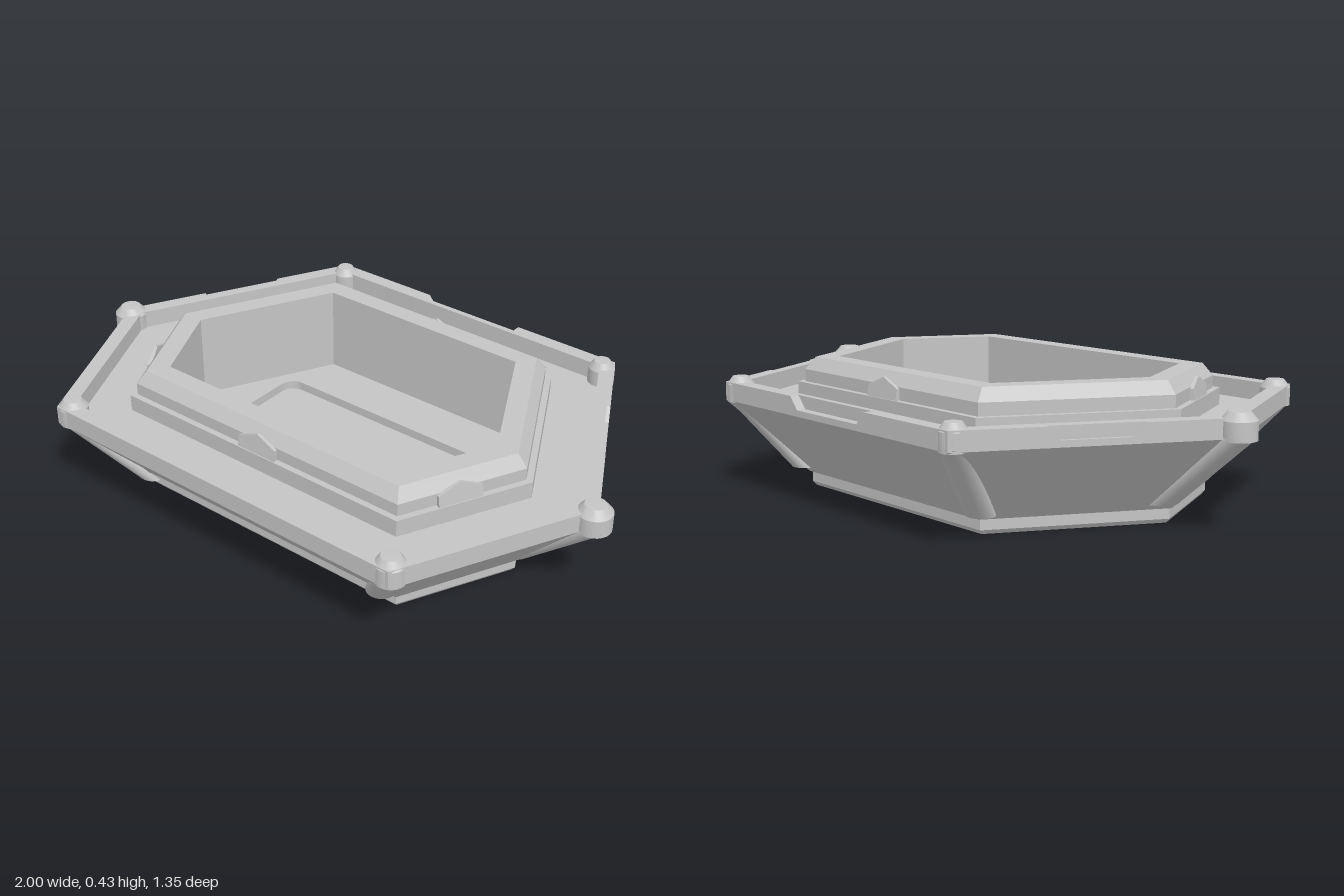
import * as THREE from 'three';
import { toCreasedNormals } from 'three/addons/utils/BufferGeometryUtils.js';

// Outer hexagon [x, z], counter-clockwise from above
const CORNERS = [[0.661, 0.673], [0.956, 0.07], [0.573, -0.675], [-0.573, -0.675], [-0.956, 0.07], [-0.661, 0.673]]
  .map(([x, z]) => new THREE.Vector2(x, z));
const EDGES = CORNERS.map((a, i) => {
  const b = CORNERS[(i + 1) % 6];
  const dir = b.clone().sub(a).normalize();
  return { mid: a.clone().add(b).multiplyScalar(0.5), dir, normal: new THREE.Vector2(-dir.y, dir.x) };
});
// Notches in the back and rear side edges of the rim: [half-length, depth]
const NOTCHES = { 1: [0.14, 0.012], 2: [0.19, 0.03], 3: [0.14, 0.012] };

// Corner of the hexagon inset by d
function corner(i, d) {
  const n1 = EDGES[(i + 5) % 6].normal, n2 = EDGES[i].normal;
  return CORNERS[i].clone().addScaledVector(n1.clone().add(n2), -d / (1 + n1.dot(n2)));
}

// One ring of the body; inside the notches notchY replaces y, and atDepth uses the notch depth
function bodyRing([d, y, notchY = y, atDepth = false]) {
  const pts = [];
  EDGES.forEach((e, i) => {
    const c = corner(i, d);
    pts.push([c.x, y, c.y]);
    if (!NOTCHES[i]) return;
    const [h, depth] = NOTCHES[i];
    for (const s of [-h, 0.035 - h, h - 0.035, h]) {
      const p = e.mid.clone().addScaledVector(e.dir, s).addScaledVector(e.normal, atDepth ? -depth : -d);
      pts.push([p.x, Math.abs(s) < h ? notchY : y, p.y]);
    }
  });
  return pts;
}

// Faceted skin over closed rings; faces outward going up and inward going down
function skin(rings) {
  const pos = [];
  const same = (a, b) => Math.hypot(a[0] - b[0], a[1] - b[1], a[2] - b[2]) < 1e-6;
  const tri = (a, b, c) => { if (!same(a, b) && !same(b, c) && !same(a, c)) pos.push(...a, ...b, ...c); };
  for (let r = 0; r + 1 < rings.length; r++) {
    const lo = rings[r], hi = rings[r + 1], n = lo.length;
    for (let i = 0; i < n; i++) {
      const j = (i + 1) % n;
      tri(lo[i], lo[j], hi[i]);
      tri(lo[j], hi[j], hi[i]);
    }
  }
  const g = new THREE.BufferGeometry();
  g.setAttribute('position', new THREE.Float32BufferAttribute(pos, 3));
  g.computeVertexNormals();
  return g;
}

// Plan shapes use (x, -z)
const hexShape = d => new THREE.Shape(CORNERS.map((_, i) => {
  const c = corner(i, d);
  return new THREE.Vector2(c.x, -c.y);
}));

function roundedRect(x0, y0, x1, y1, r) {
  const s = new THREE.Shape();
  s.absarc(x1 - r, y1 - r, r, 0, Math.PI / 2);
  s.absarc(x0 + r, y1 - r, r, Math.PI / 2, Math.PI);
  s.absarc(x0 + r, y0 + r, r, Math.PI, Math.PI * 1.5);
  s.absarc(x1 - r, y0 + r, r, Math.PI * 1.5, Math.PI * 2);
  return s;
}

function crossShape(len, w) {
  const pts = [];
  for (let k = 0; k < 4; k++) {
    for (const [x, y] of [[w, -w], [len, -w], [len, w]]) {
      pts.push(new THREE.Vector2(x, y).rotateAround(new THREE.Vector2(), Math.PI / 4 + k * Math.PI / 2));
    }
  }
  return new THREE.Shape(pts);
}

// Level face at height y, looking up or down
function level(shape, y, up) {
  const g = new THREE.ShapeGeometry(shape, 8).rotateX(-Math.PI / 2);
  if (!up) {
    g.setIndex(Array.from(g.index.array).reverse());
    g.computeVertexNormals();
  }
  return g.translate(0, y, 0);
}

// Inward-facing wall of a recess
const recessWall = (shape, yTop, yBottom) =>
  skin([yTop, yBottom].map(y => shape.getPoints(8).map(p => [p.x, y, -p.y])));

// Corner posts on the +x side: top centre, foot centre [x, z] and radius
const POSTS = [
  { top: [0.635, 0.628], foot: [0.475, 0.458], r: 0.048 },
  { top: [0.945, 0.077], foot: [0.675, 0.053], r: 0.055 },
  { top: [0.547, -0.634], foot: [0.45, -0.455], r: 0.044 },
];

export function createModel() {
  const model = new THREE.Group();
  const grey = new THREE.MeshStandardMaterial({ color: 0xc4c4c4 });
  grey.name = 'grey';
  const add = (name, geometry, parent = model) => {
    const m = new THREE.Mesh(geometry, grey);
    m.name = name;
    parent.add(m);
    return m;
  };

  // Continuous skin: foot, flared wall, notched rim, shelf, collar and well wall
  add('hexagonalBody', skin([
    [0.325, 0.03], [0.308, 0], [0.245, 0], [0.234, 0.014], [0.234, 0.046], [0.226, 0.048],
    [0, 0.295], [0, 0.355, 0.315], [0.03, 0.355, 0.315, true], [0.03, 0.355, 0.355, true], [0.05, 0.355],
    [0.05, 0.295], [0.2, 0.295], [0.2, 0.35], [0.22, 0.35], [0.22, 0.39],
    [0.25, 0.43], [0.315, 0.43], [0.315, 0.14],
  ].map(bodyRing)));

  // Well floor with a sunken rounded pocket
  const pocket = roundedRect(-0.435, -0.255, 0.435, 0.19, 0.05);
  const floor = hexShape(0.315);
  floor.holes.push(pocket);
  add('wellFloor', level(floor, 0.14, true));
  add('pocketWall', recessWall(pocket, 0.14, 0.11));
  add('pocketFloor', level(pocket, 0.11, true));

  // Underside plate with a cross-shaped slot
  const cross = crossShape(0.13, 0.018);
  const plate = hexShape(0.325);
  plate.holes.push(cross);
  add('undersidePlate', level(plate, 0.03, false));
  add('crossSlotWall', recessWall(cross, 0.06, 0.03));
  add('crossSlotBottom', level(cross, 0.06, false));

  // Slanted corner struts with chamfered caps
  for (const side of [1, -1]) {
    for (const { top, foot, r } of POSTS) {
      const post = new THREE.Group();
      post.name = 'cornerPost';
      model.add(post);

      // Outer part of an upright cylinder, sheared from the foot to the top centre
      const y0 = 0.065, y1 = 0.3;
      const dx = side * (top[0] - foot[0]), dz = top[1] - foot[1];
      const strut = new THREE.CylinderGeometry(r, r, y1 - y0, 24, 1, false, Math.atan2(dx, dz) - 2, 4);
      const p = strut.attributes.position;
      for (let k = 0; k < p.count; k++) {
        const t = p.getY(k) / (y1 - y0) + 0.5;
        p.setXYZ(k, p.getX(k) + side * foot[0] + dx * t, y0 + t * (y1 - y0), p.getZ(k) + foot[1] + dz * t);
      }
      strut.computeVertexNormals();
      add('cornerStrut', strut, post);

      const profile = [[0, 0.29], [r, 0.29], [r, 0.348], [r * 0.6, 0.373], [0, 0.375]]
        .map(([x, y]) => new THREE.Vector2(x, y));
      const cap = toCreasedNormals(new THREE.LatheGeometry(profile, 24), 0.4);
      add('cornerCap', cap.translate(side * top[0], 0, top[1]), post);
    }
  }

  // Pointed tabs on the collar, thinning upwards: front sides, back and front
  const tab = new THREE.Shape([[-0.072, 0.345], [0.072, 0.345], [0.072, 0.385], [0, 0.415], [-0.072, 0.385]]
    .map(([x, y]) => new THREE.Vector2(x, y)));
  for (const i of [0, 2, 4, 5]) {
    const g = new THREE.ExtrudeGeometry(tab, { depth: 0.02, bevelEnabled: false });
    const p = g.attributes.position;
    for (let k = 0; k < p.count; k++) {
      if (p.getZ(k) > 0.01) p.setZ(k, 0.02 - (p.getY(k) - 0.345) * 0.15);
    }
    g.computeVertexNormals();
    const { mid, normal } = EDGES[i];
    const m = add('collarTab', g);
    const at = mid.clone().addScaledVector(normal, -0.223);
    m.position.set(at.x, 0, at.y);
    m.rotation.y = Math.atan2(normal.x, normal.y);
  }
  return model;
}
